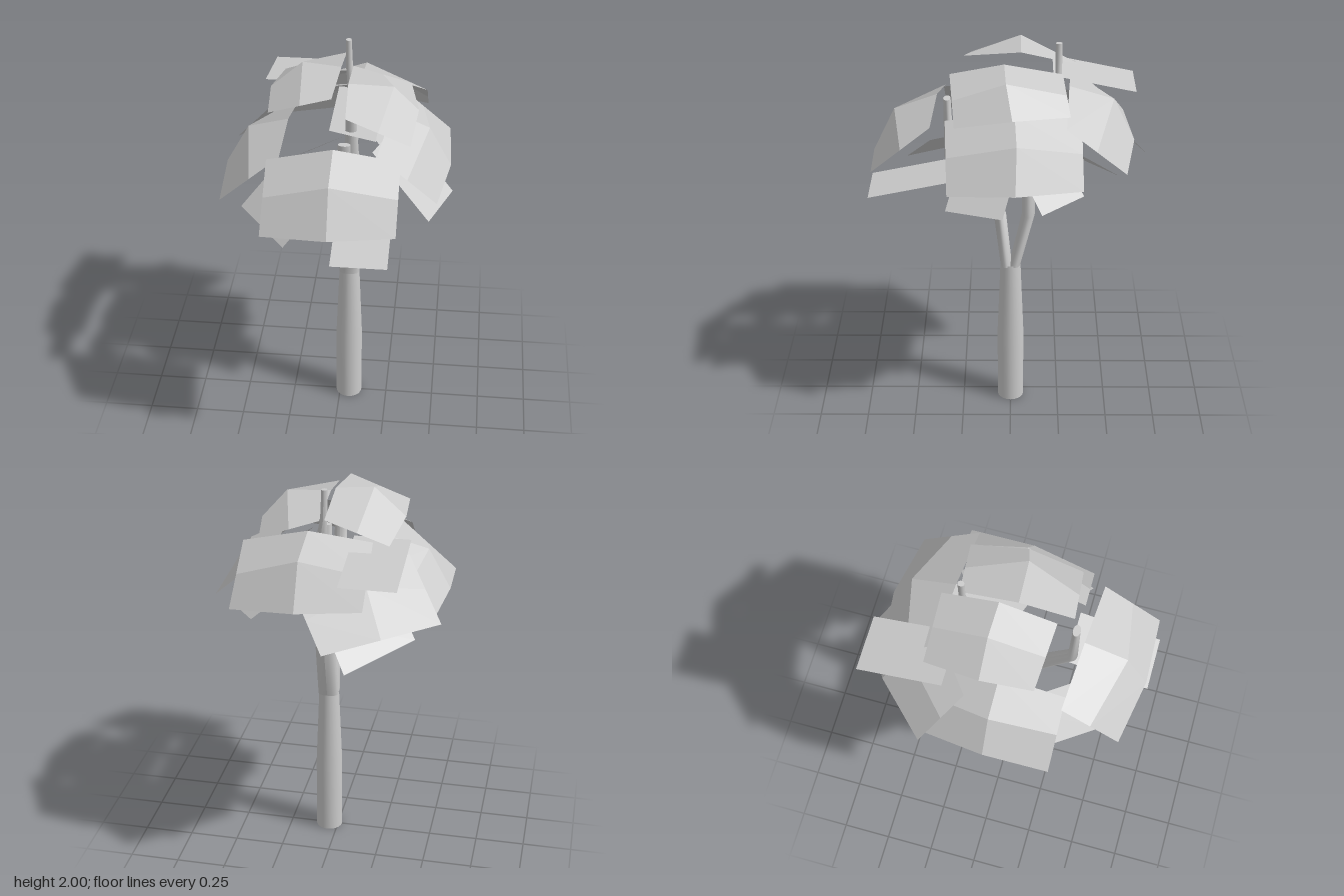
import * as THREE from 'three';

const material = new THREE.MeshStandardMaterial({ color: 0xcccccc, side: THREE.DoubleSide });

// Smooth limb from level elliptical sections [x, y, z, radiusX, radiusZ], closed at the tip
function limb(sections, sides = 14) {
  const position = [], index = [], n = sides + 1;
  sections.forEach(([x, y, z, rx, rz], r) => {
    for (let i = 0; i < n; i++) {
      const t = (i / sides) * Math.PI * 2;
      position.push(x + rx * Math.sin(t), y, z - rz * Math.cos(t));
      const a = r * n + i, b = a + n;
      if (r < sections.length - 1 && i < sides) index.push(a, b, a + 1, b, b + 1, a + 1);
    }
  });
  const tube = new THREE.BufferGeometry();
  tube.setAttribute('position', new THREE.Float32BufferAttribute(position, 3));
  tube.setIndex(index);
  tube.computeVertexNormals();
  const [x, y, z, rx, rz] = sections[sections.length - 1];
  const cap = new THREE.Mesh(new THREE.CircleGeometry(1, sides), material);
  cap.rotation.x = -Math.PI / 2;
  cap.scale.set(rx, rz, 1);
  cap.position.set(x, y, z);
  return new THREE.Group().add(new THREE.Mesh(tube, material), cap);
}

// Leaf from rows of points, each four-cornered facet shaded flat with its upper side as the front
function facets(rows) {
  const position = [], normal = [], index = [];
  for (let r = 0; r < rows.length - 1; r++) {
    for (let c = 0; c < rows[0].length - 1; c++) {
      const corners = [rows[r][c], rows[r + 1][c], rows[r + 1][c + 1], rows[r][c + 1]]
        .map((p) => new THREE.Vector3(...p));
      const across = corners[2].clone().sub(corners[0]);
      const n = corners[3].clone().sub(corners[1]).cross(across).negate().normalize();
      if (n.y < 0) {
        corners.reverse();
        n.negate();
      }
      const k = position.length / 3;
      for (const p of corners) {
        position.push(p.x, p.y, p.z);
        normal.push(n.x, n.y, n.z);
      }
      index.push(k, k + 1, k + 2, k, k + 2, k + 3);
    }
  }
  const g = new THREE.BufferGeometry();
  g.setAttribute('position', new THREE.Float32BufferAttribute(position, 3));
  g.setAttribute('normal', new THREE.Float32BufferAttribute(normal, 3));
  g.setIndex(index);
  return g;
}

const midpoint = (a, b) => a.map((v, i) => (v + b[i]) / 2);

export function createModel() {
  const tree = new THREE.Group();
  const add = (name, object) => {
    object.name = name;
    tree.add(object);
  };
  const flatLeaf = (name, ...rows) => add(name, new THREE.Mesh(facets(rows), material));
  // Domed leaf: straight at both ends, raised at the centre point
  const domedLeaf = (name, inner, centre, outer) => flatLeaf(name, inner,
    [midpoint(inner[0], outer[0]), centre, midpoint(inner[2], outer[2])], outer);

  // Trunk
  const profile = [[0, 0], [0.068, 0], [0.068, 0], [0.068, 0.4], [0.051, 0.82]];
  const trunk = new THREE.Mesh(
    new THREE.LatheGeometry(profile.map(([r, y]) => new THREE.Vector2(r, y)), 20), material);
  trunk.position.x = 0.047;
  add('trunk', trunk);

  // Branches: the trunk splits front and back, and the back one forks again
  add('frontBranch', limb([
    [0.047, 0.81, 0.022, 0.051, 0.029], [0.047, 1.1, 0.053, 0.049, 0.031],
    [0.047, 1.42, 0.3, 0.034, 0.024], [0.047, 1.73, 0.305, 0.03, 0.018],
  ]));
  add('backBranch', limb([
    [0.047, 0.81, -0.022, 0.051, 0.029], [0.047, 1.1, -0.09, 0.049, 0.033],
    [0.047, 1.43, -0.086, 0.038, 0.029], [0.047, 1.75, -0.03, 0.022, 0.018],
  ]));
  add('topBranch', limb([
    [0.047, 1.42, -0.095, 0.03, 0.02], [0.045, 1.7, -0.225, 0.028, 0.018],
    [0.022, 1.85, -0.23, 0.017, 0.016], [0.018, 2, -0.23, 0.014, 0.016],
  ]));

  // Large domed leaves: inner edge, centre, outer edge
  domedLeaf('frontLeaf',
    [[-0.315, 1.645, 0.33], [0, 1.73, 0.355], [0.313, 1.695, 0.375]], [0, 1.655, 0.565],
    [[-0.315, 1.405, 0.615], [0, 1.435, 0.672], [0.313, 1.465, 0.66]]);
  domedLeaf('leftLeaf',
    [[0.2, 1.68, 0.31], [0.25, 1.735, -0.02], [0.245, 1.72, -0.335]], [0.43, 1.65, -0.03],
    [[0.485, 1.425, 0.295], [0.54, 1.45, -0.025], [0.527, 1.475, -0.34]]);
  domedLeaf('rightLeaf',
    [[-0.255, 1.66, 0.335], [-0.25, 1.69, 0.02], [-0.225, 1.64, -0.3]], [-0.445, 1.64, 0.02],
    [[-0.545, 1.41, 0.335], [-0.556, 1.44, 0.02], [-0.51, 1.395, -0.28]]);
  domedLeaf('backLeaf',
    [[-0.225, 1.785, -0.3], [0.087, 1.81, -0.28], [0.405, 1.73, -0.26]], [0.087, 1.745, -0.495],
    [[-0.225, 1.55, -0.565], [0.087, 1.53, -0.6], [0.405, 1.5, -0.545]]);
  domedLeaf('backCornerLeaf',
    [[-0.37, 1.66, -0.115], [-0.12, 1.69, -0.31], [0.12, 1.63, -0.505]], [-0.22, 1.62, -0.44],
    [[-0.555, 1.395, -0.295], [-0.31, 1.41, -0.545], [-0.06, 1.375, -0.688]]);
  domedLeaf('topRightLeaf',
    [[-0.02, 1.92, 0.225], [0, 1.945, -0.05], [0, 1.885, -0.32]], [-0.185, 1.963, -0.05],
    [[-0.32, 1.82, 0.2], [-0.34, 1.825, -0.05], [-0.305, 1.78, -0.32]]);
  domedLeaf('topLeftLeaf',
    [[0.05, 1.855, 0.29], [0.04, 1.9, 0.03], [0.04, 1.85, -0.25]], [0.255, 1.89, 0.02],
    [[0.35, 1.71, 0.26], [0.375, 1.755, -0.01], [0.325, 1.755, -0.28]]);

  // Small flat leaves: inner edge, outer edge
  flatLeaf('smallFrontLeaf',
    [[0.015, 1.395, 0.28], [0.28, 1.395, 0.28]], [[0.015, 1.31, 0.685], [0.28, 1.31, 0.685]]);
  flatLeaf('smallFrontRightLeaf',
    [[-0.315, 1.425, 0.02], [-0.06, 1.455, 0.4]], [[-0.475, 1.26, 0.15], [-0.22, 1.29, 0.53]]);
  flatLeaf('smallBackRightLeaf',
    [[-0.28, 1.43, -0.02], [0, 1.39, -0.37]], [[-0.42, 1.255, -0.205], [-0.14, 1.215, -0.555]]);
  flatLeaf('smallUpperBackLeaf',
    [[-0.39, 1.775, -0.21], [-0.12, 1.775, -0.21]], [[-0.39, 1.69, -0.62], [-0.12, 1.69, -0.62]]);
  flatLeaf('smallLeftLeaf',
    [[0.17, 1.63, 0.195], [0.275, 1.64, -0.075]], [[0.45, 1.33, 0.305], [0.555, 1.34, 0.035]]);
  flatLeaf('smallBackLeftLeaf',
    [[0.21, 1.54, 0.01], [0.08, 1.57, -0.19]], [[0.485, 1.325, -0.15], [0.355, 1.36, -0.35]]);
  flatLeaf('smallInnerLeaf',
    [[0.175, 1.6, 0.045], [-0.06, 1.6, -0.04]], [[0.18, 1.6, -0.42], [-0.055, 1.6, -0.505]]);

  return tree;
}
